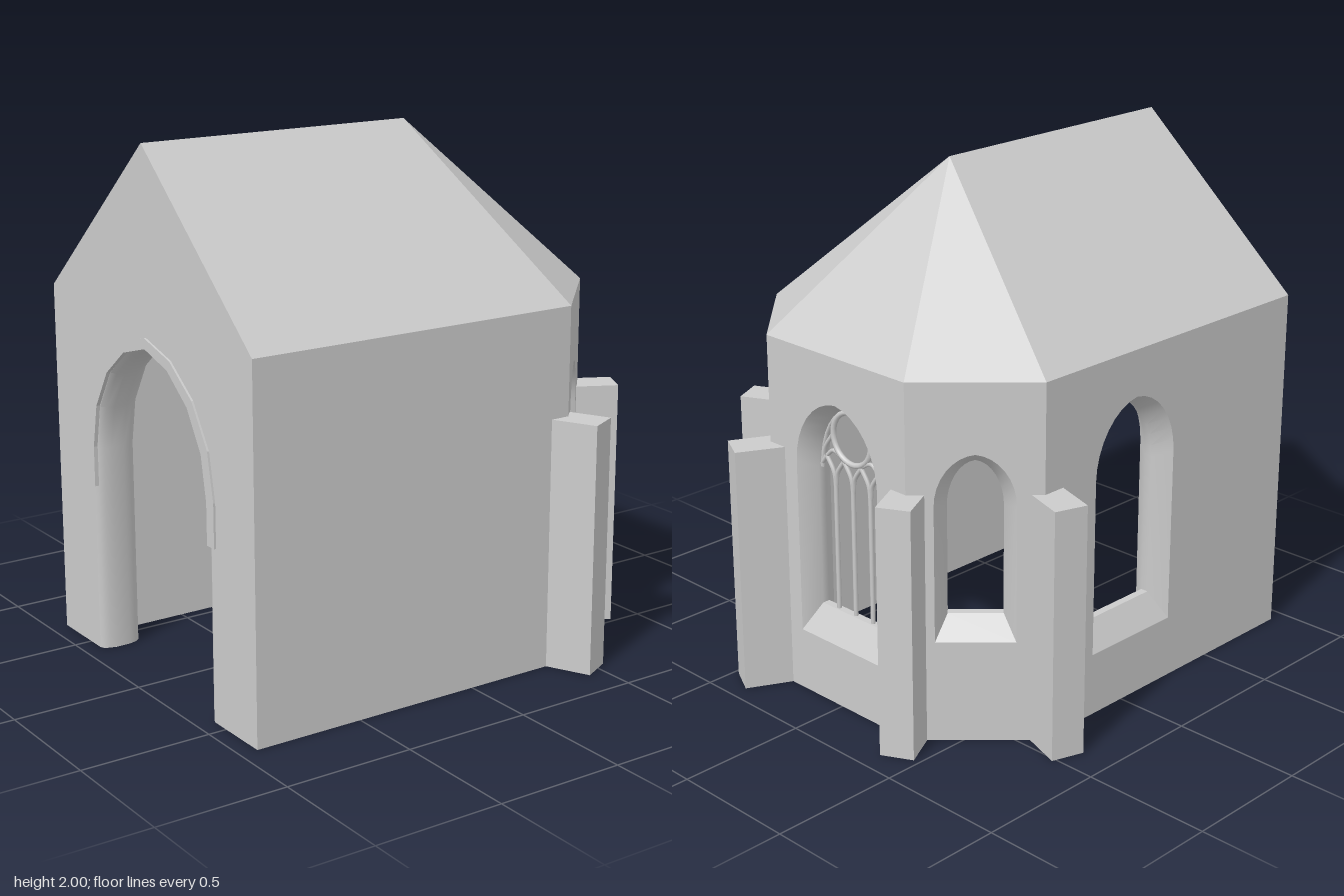
import * as THREE from 'three';
import { toCreasedNormals } from 'three/addons/utils/BufferGeometryUtils.js';

const stone = new THREE.MeshStandardMaterial({ color: 0xcccccc, side: THREE.DoubleSide });
const EAVE = 1.38, RIDGE = 2, T = 0.16;

// Plan corners [x, z], counter-clockwise seen from above, starting at the front
const OUT = [[-0.705, 0.93], [0.705, 0.93], [0.705, -0.43], [0.36, -0.77], [-0.36, -0.77], [-0.705, -0.43]];
const IN = [[-0.545, 0.77], [0.545, 0.77], [0.545, -0.363], [0.295, -0.61], [-0.295, -0.61], [-0.545, -0.363]];

const v2 = (x, y) => new THREE.Vector2(x, y);

function add(parent, name, geometry) {
  const mesh = new THREE.Mesh(geometry, stone);
  mesh.name = name;
  parent.add(mesh);
  return mesh;
}

// Arched outline from lower right, over the apex, to lower left
function arch(cx, hw, sill, spring, apex, n = 8) {
  const pts = [v2(cx + hw, sill)];
  for (let i = 0; i <= 2 * n; i++) {
    const a = (i / n) * Math.PI / 2, c = Math.cos(a);
    const rise = 0.93 * Math.sin(a) + 0.07 * (1 - Math.abs(c));
    pts.push(v2(cx + hw * c, spring + (apex - spring) * rise));
  }
  pts.push(v2(cx - hw, sill));
  return pts;
}

// Skin joining arched outlines at successive depths
function loft(rings, closed) {
  const pos = [], n = rings[0].pts.length;
  for (let r = 0; r < rings.length - 1; r++) {
    const A = rings[r], B = rings[r + 1];
    for (let i = 0; i < (closed ? n : n - 1); i++) {
      const j = (i + 1) % n;
      const a = [A.pts[i].x, A.pts[i].y, A.z], b = [A.pts[j].x, A.pts[j].y, A.z];
      const c = [B.pts[i].x, B.pts[i].y, B.z], d = [B.pts[j].x, B.pts[j].y, B.z];
      pos.push(...a, ...b, ...c, ...b, ...d, ...c);
    }
  }
  const g = new THREE.BufferGeometry();
  g.setAttribute('position', new THREE.Float32BufferAttribute(pos, 3));
  return toCreasedNormals(g, 0.7);
}

// Flat wall face from u0 to u1, with an optional gable peak and opening
function face(u0, u1, peak, opening, isDoor) {
  const top = [v2(u1, 0), v2(u1, EAVE)];
  if (peak) top.push(v2((u0 + u1) / 2, RIDGE));
  top.push(v2(u0, EAVE), v2(u0, 0));
  const shape = new THREE.Shape(isDoor ? [...top, ...[...opening].reverse()] : top);
  if (opening && !isDoor) shape.holes.push(new THREE.Path(opening));
  return new THREE.ShapeGeometry(shape);
}

// Wall i of the plan, in its own frame: x along the wall, z outwards
function wall(parent, i, name, rings, isDoor = false) {
  const j = (i + 1) % OUT.length, [ax, az] = OUT[i], [bx, bz] = OUT[j];
  const len = Math.hypot(bx - ax, bz - az), ux = (bx - ax) / len, uz = (bz - az) / len;
  const along = ([x, z]) => (x - ax) * ux + (z - az) * uz;
  const g = new THREE.Group();
  g.name = name;
  g.position.set(ax, 0, az);
  g.rotation.y = Math.atan2(-uz, ux);
  parent.add(g);
  add(g, name + 'Outside', face(0, len, isDoor, rings && rings[0].pts, isDoor));
  add(g, name + 'Inside', face(along(IN[i]), along(IN[j]), false, rings && rings.at(-1).pts, isDoor)).position.z = -T;
  if (rings) add(g, name + 'Reveal', loft(rings, !isDoor));
  return g;
}

// Opening splayed on both sides of a narrower light
const largeWindow = (u) => [
  { pts: arch(u, 0.215, 0.245, 0.93, 1.2), z: 0 },
  { pts: arch(u, 0.167, 0.35, 0.9, 1.165), z: -T / 2 + 0.015 },
  { pts: arch(u, 0.167, 0.35, 0.9, 1.165), z: -T / 2 - 0.015 },
  { pts: arch(u, 0.215, 0.245, 0.93, 1.2), z: -T }];
const smallWindow = (u) => [
  { pts: arch(u, 0.145, 0.395, 0.92, 1.115), z: 0 },
  { pts: arch(u, 0.1, 0.48, 0.9, 1.07), z: -T / 2 + 0.015 },
  { pts: arch(u, 0.1, 0.48, 0.9, 1.07), z: -T / 2 - 0.015 },
  { pts: arch(u, 0.165, 0.395, 0.92, 1.115), z: -T }];

// Mullions, pointed heads and a round light
function tracery(u) {
  const g = new THREE.Group();
  g.name = 'tracery';
  g.position.set(u, 0, -T / 2);
  const bar = (name, pts, r) => add(g, name, new THREE.TubeGeometry(
    new THREE.CatmullRomCurve3(pts.map(([x, y]) => new THREE.Vector3(x, y, 0))), 12, r, 6));
  const w = 0.0925;
  for (const k of [-1, 0, 1]) {
    add(g, 'mullion', new THREE.CylinderGeometry(0.009, 0.009, 0.51, 8)).position.set(k * w, 0.6, 0);
  }
  for (const k of [-1.5, -0.5, 0.5, 1.5]) {
    for (const s of [-1, 1]) {
      bar('lightHead', [[k * w + s * 0.046, 0.84], [k * w + s * 0.037, 0.895], [k * w, 0.95]], 0.009);
    }
  }
  add(g, 'roundLight', new THREE.TorusGeometry(0.1, 0.011, 8, 32)).position.y = 1.05;
  for (const s of [-1, 1]) {
    bar('sideArc', [[s * 0.163, 0.91], [s * 0.15, 0.975], [s * 0.105, 1.04]], 0.008);
    bar('sideArc', [[s * 0.139, 0.95], [s * 0.1, 0.98], [s * 0.04, 0.95]], 0.008);
  }
  const rim = arch(0, 0.163, 0.35, 0.9, 1.16).map((p) => [p.x, p.y]);
  rim.slice(1, -1).forEach((p, i, all) => { if (i) bar('rim', [all[i - 1], p], 0.008); });
  return g;
}

export function createModel() {
  const model = new THREE.Group();
  model.name = 'chapel';

  // Front wall with a round-edged pointed doorway
  const doorProfile = [[0.425, 0], [0.408, -0.008], [0.397, -0.03], [0.392, -0.06], [0.392, -0.11], [0.4, -0.14], [0.415, -T]];
  wall(model, 0, 'frontWall', doorProfile.map(([hw, z]) =>
    ({ pts: arch(0.705, hw, 0, 0.8, 0.865 + hw, 4), z })), true);

  // Hood moulding around the doorway
  const hood = new THREE.Shape([...arch(0, 0.455, 0.655, 0.82, 1.31, 4), ...arch(0, 0.408, 0.655, 0.81, 1.27, 4).reverse()]);
  add(model, 'hoodMoulding', new THREE.ExtrudeGeometry(hood, { depth: 0.025, bevelEnabled: false })).position.z = 0.913;

  // Side and apse walls
  const diag = Math.hypot(0.345, 0.34) / 2;
  wall(model, 1, 'leftWall', null);
  wall(model, 2, 'leftApseWall', smallWindow(diag));
  wall(model, 3, 'backWall', largeWindow(0.36)).add(tracery(0.36));
  wall(model, 4, 'rightApseWall', smallWindow(diag));
  wall(model, 5, 'rightWall', largeWindow(0.48));

  // Underside of the walls, open at the doorway, and the ceiling
  const plan = (pts) => new THREE.ShapeGeometry(new THREE.Shape(pts.map(([x, z]) => v2(x, z)))).rotateX(Math.PI / 2);
  const ring = (c) => [...c.slice(1), c[0]];
  add(model, 'wallBase', plan([[0.425, 0.93], ...ring(OUT), [-0.425, 0.93], [-0.392, 0.88], [-0.392, 0.82], [-0.415, 0.77],
    ...ring(IN).reverse(), [0.415, 0.77], [0.392, 0.82], [0.392, 0.88]]));
  add(model, 'ceiling', plan(OUT)).position.y = EAVE - 0.002;

  // Gabled roof, hipped over the apse
  const front = [0, RIDGE, 0.93], hip = [0, RIDGE, -0.19];
  const E = OUT.map(([x, z]) => [x, EAVE, z]);
  const tris = [E[1], E[2], hip, E[1], hip, front, E[5], E[0], front, E[5], front, hip];
  for (let i = 2; i < 5; i++) tris.push(E[i], E[i + 1], hip);
  const roof = new THREE.BufferGeometry();
  roof.setAttribute('position', new THREE.Float32BufferAttribute(tris.flat(), 3));
  roof.computeVertexNormals();
  add(model, 'roof', roof);

  // Buttresses at the apse corners: outer face centre and outward direction
  for (const [x, z, nx, nz] of [[0.837, -0.488, 0.9, -0.44], [-0.85, -0.455, -0.95, -0.32],
    [0.4225, -0.905, 0.46, -0.885], [-0.418, -0.885, -0.46, -0.885]]) {
    const b = add(model, 'buttress', new THREE.BoxGeometry(0.128, 0.965, 0.22));
    b.position.set(x - nx * 0.11, 0.4825, z - nz * 0.11);
    b.rotation.y = Math.atan2(nx, nz);
  }
  return model;
}
